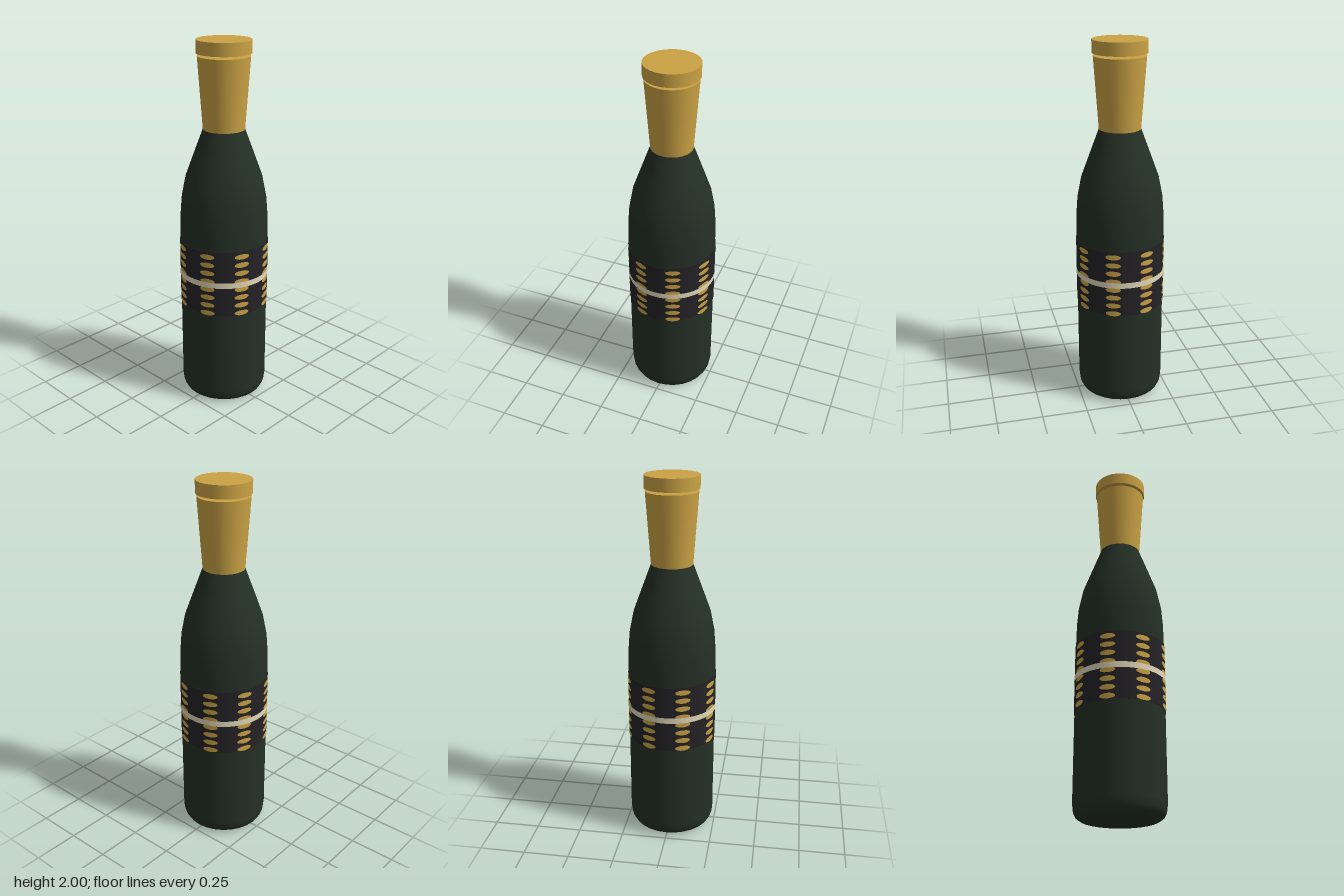
import * as THREE from 'three';
import { mergeGeometries } from 'three/addons/utils/BufferGeometryUtils.js';

const SIDES = 28;

function material(name, color) {
  const m = new THREE.MeshStandardMaterial({ color });
  m.name = name;
  return m;
}

function lathe(points, sides = SIDES) {
  return new THREE.LatheGeometry(points.map(([r, y]) => new THREE.Vector2(r, y)), sides);
}

// Oval patch wrapped onto a cylinder of the given radius
function wrappedOval(angle, y, radius, halfWidth, halfHeight) {
  const g = new THREE.CircleGeometry(1, 16);
  const p = g.attributes.position, n = g.attributes.normal;
  for (let i = 0; i < p.count; i++) {
    const a = angle + (p.getX(i) * halfWidth) / radius;
    p.setXYZ(i, Math.sin(a) * radius, y + p.getY(i) * halfHeight, Math.cos(a) * radius);
    n.setXYZ(i, Math.sin(a), 0, Math.cos(a));
  }
  return g;
}

export function createModel() {
  const glass = material('dark green glass', 0x243026);
  const gold = material('gold foil', 0xcba345);
  const black = material('black label', 0x242226);
  const cream = material('cream band', 0xe4dabb);

  const model = new THREE.Group();
  model.name = 'bottle';
  const add = (name, geometry, mat) => {
    const mesh = new THREE.Mesh(geometry, mat);
    mesh.name = name;
    model.add(mesh);
    return mesh;
  };

  // Glass body with rounded foot and sloping shoulders
  add('body', lathe([
    [0, 0.003], [0.17, 0.003], [0.2, 0.008], [0.222, 0.022], [0.234, 0.045], [0.239, 0.085],
    [0.239, 0.5], [0.239, 0.97], [0.237, 1.07], [0.229, 1.17], [0.207, 1.28],
    [0.163, 1.4], [0.111, 1.54],
  ]), glass);

  // Flared neck foil, then the separate cap disc above a narrow gap
  const neck = add('neckFoil', new THREE.CylinderGeometry(0.138, 0.111, 0.378, SIDES), gold);
  neck.position.y = 1.729;
  const cap = add('cap', new THREE.CylinderGeometry(0.144, 0.144, 0.068, SIDES), gold);
  cap.position.y = 1.966;

  // Label wrap
  add('label', lathe([[0.239, 0.563], [0.242, 0.563], [0.242, 0.935], [0.239, 0.935]]), black)
    .geometry.computeVertexNormals();
  const label = model.getObjectByName('label');
  label.geometry.dispose();
  label.geometry = new THREE.CylinderGeometry(0.242, 0.242, 0.372, SIDES);
  label.position.y = 0.749;

  // Eight columns of eight gold ovals
  const ovals = [];
  for (let c = 0; c < 8; c++) {
    for (let r = 0; r < 8; r++) {
      ovals.push(wrappedOval(((c + 0.5) * Math.PI) / 4, 0.577 + r * 0.047, 0.2435, 0.042, 0.015));
    }
  }
  add('labelOvals', mergeGeometries(ovals), gold);

  // Cream band around the middle of the label
  const band = add('labelBand', new THREE.CylinderGeometry(0.2443, 0.2443, 0.032, 56, 1, true), cream);
  band.position.y = 0.744;

  return model;
}
